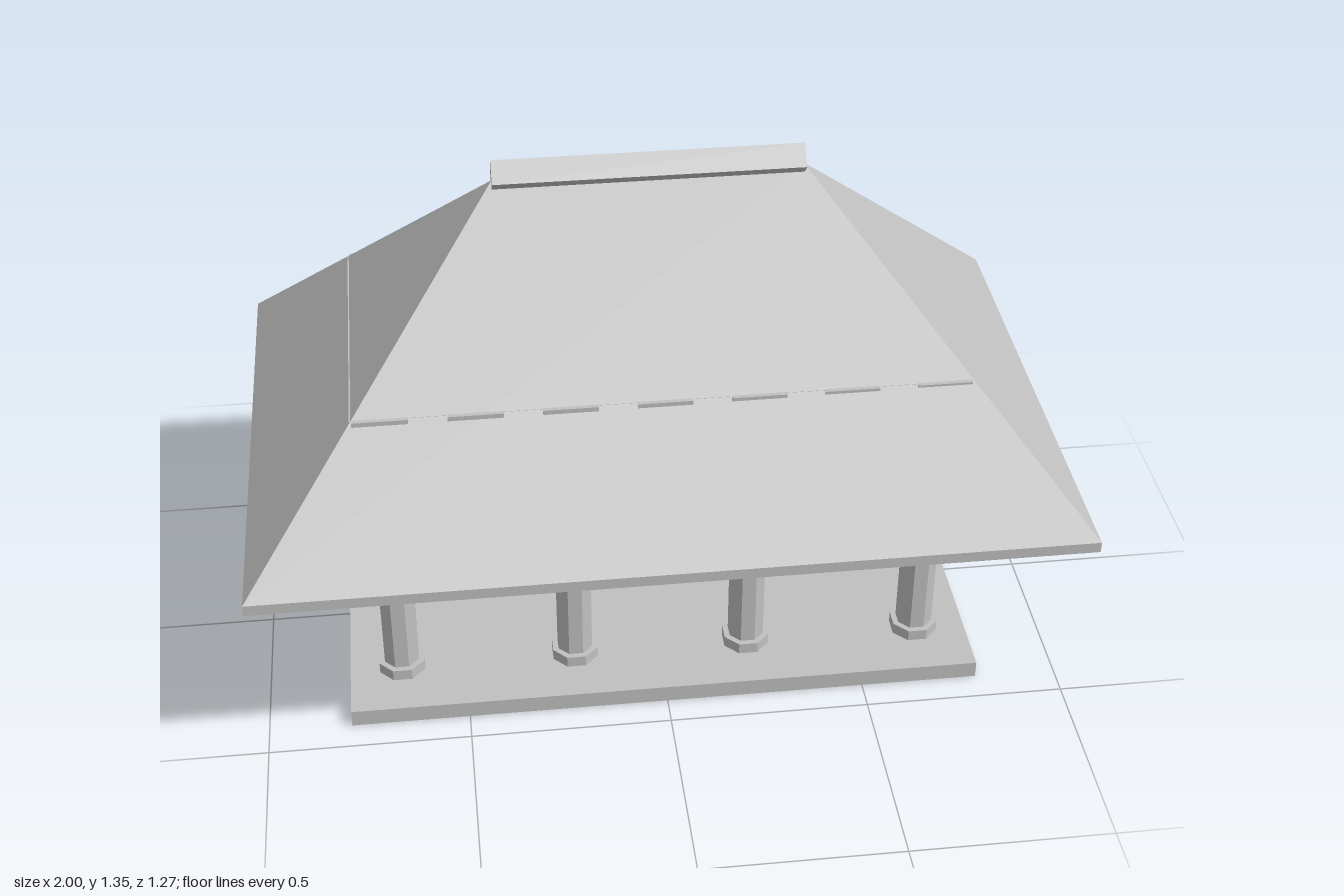
import * as THREE from 'three';

const grey = new THREE.MeshStandardMaterial({ color: 0xc0c0c0, side: THREE.DoubleSide, flatShading: true });
grey.name = 'plain grey';

function add(parent, name, geometry, x = 0, y = 0, z = 0) {
  const mesh = new THREE.Mesh(geometry, grey);
  mesh.name = name;
  mesh.position.set(x, y, z);
  parent.add(mesh);
  return mesh;
}

// Box given by its lower and upper limits on each axis
function box(parent, name, [x0, x1], [y0, y1], [z0, z1]) {
  return add(parent, name, new THREE.BoxGeometry(x1 - x0, y1 - y0, z1 - z0),
    (x0 + x1) / 2, (y0 + y1) / 2, (z0 + z1) / 2);
}

// Octagonal prism with a flat side to the front; r is half the width across flats
function octagon(r, h) {
  return new THREE.CylinderGeometry(r / Math.cos(Math.PI / 8), r / Math.cos(Math.PI / 8), h, 8).rotateY(Math.PI / 8);
}

// Hollow hipped roof: outer slopes, eave boards and inner slopes
function hippedRoof(hx, hz, ridge, eaveY, ridgeY, thickness) {
  const points = [];
  const quad = (a, b, c, d) => points.push(...a, ...b, ...c, ...a, ...c, ...d);
  const corners = y => [[-hx, y, hz], [hx, y, hz], [hx, y, -hz], [-hx, y, -hz]];
  const top = corners(eaveY), low = corners(eaveY - thickness);
  for (let i = 0; i < 4; i++) {
    const j = (i + 1) % 4;
    quad(low[i], low[j], top[j], top[i]);
    const ends = [[-ridge, ridge], [ridge, ridge], [ridge, -ridge], [-ridge, -ridge]][i];
    const outer = ends.map(x => [x, ridgeY, 0]);
    const inner = ends.map(x => [x, ridgeY - thickness, 0]);
    if (i % 2) {
      points.push(...top[i], ...top[j], ...outer[0]);
      points.push(...low[j], ...low[i], ...inner[0]);
    } else {
      quad(top[i], top[j], outer[1], outer[0]);
      quad(low[j], low[i], inner[0], inner[1]);
    }
  }
  const geometry = new THREE.BufferGeometry();
  geometry.setAttribute('position', new THREE.Float32BufferAttribute(points, 3));
  geometry.computeVertexNormals();
  return geometry;
}

export function createModel() {
  const model = new THREE.Group();
  model.name = 'pavilion';

  box(model, 'platform', [-0.795, 0.795], [0, 0.045], [-0.427, 0.427]);

  // Two rows of four columns with footings
  const columns = new THREE.Group();
  columns.name = 'columns';
  model.add(columns);
  for (const z of [-0.265, 0.265]) {
    for (const x of [-0.663, -0.221, 0.221, 0.663]) {
      add(columns, 'footing', octagon(0.057, 0.03), x, 0.06, z);
      add(columns, 'column', octagon(0.043, 0.605), x, 0.3475, z);
    }
  }

  // Beams resting on the columns
  const beams = new THREE.Group();
  beams.name = 'beams';
  model.add(beams);
  for (const s of [-1, 1]) {
    box(beams, 'longBeam', [-0.755, 0.755], [0.65, 0.73], [s * 0.265 - 0.04, s * 0.265 + 0.04]);
    box(beams, 'crossBeam', [s * 0.663 - 0.035, s * 0.663 + 0.035], [0.66, 0.73], [-0.265, 0.265]);
  }

  // Screens along the middle with slats in front, and wings reaching the back columns
  for (const s of [-1, 1]) {
    const screen = new THREE.Group();
    screen.name = s > 0 ? 'leftScreen' : 'rightScreen';
    model.add(screen);
    box(screen, 'panel', [s * 0.445 - 0.185, s * 0.445 + 0.185], [0.045, 0.65], [-0.016, 0.006]);
    for (let i = 0; i < 6; i++) {
      const x = s * 0.445 - 0.168 + i * 0.0672;
      box(screen, 'slat', [x - 0.017, x + 0.017], [0.045, 0.65], [0.006, 0.02]);
    }
    box(screen, 'wing', [s * 0.221 - 0.015, s * 0.221 + 0.015], [0.045, 0.65], [-0.24, -0.087]);
  }

  // Roof, ceiling and ridge
  add(model, 'roof', hippedRoof(1, 0.633, 0.37, 0.588, 1.295, 0.028));
  box(model, 'ceiling', [-0.735, 0.73], [0.875, 0.889], [-0.364, 0.364]);
  const side = 0.06;
  add(model, 'ridge', new THREE.BoxGeometry(0.742, side, side).rotateX(Math.PI / 4), 0, 1.306, 0);

  // Broken line of battens, growing thinner towards +x
  const battens = new THREE.Group();
  battens.name = 'battens';
  model.add(battens);
  for (const s of [-1, 1]) {
    for (let i = 0; i < 7; i++) {
      const x = -0.665 + i * 0.221, h = 0.016 - i * 0.0017;
      const z = s * 0.364;
      box(battens, 'batten', [x - 0.065, x + 0.065], [0.89 - h, 0.89], [z - 0.009, z + 0.009]);
    }
  }
  return model;
}
